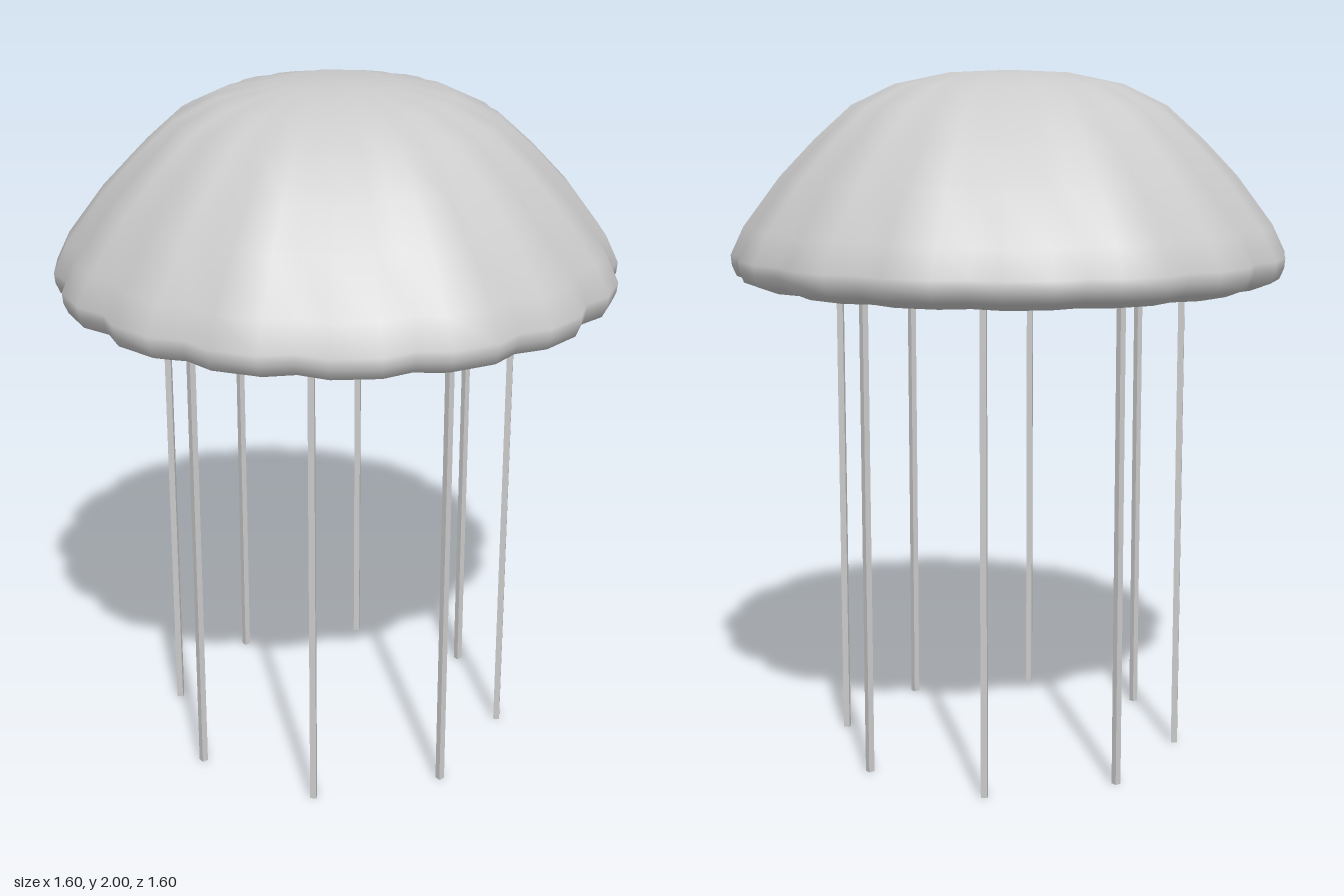
import * as THREE from 'three';
import { mergeVertices } from 'three/addons/utils/BufferGeometryUtils.js';

const LOBES = 16;
const RING = 0.505; // radius of the opening, where the tentacles hang
const LIP_Y = 1.445;

// Thin scalloped dome whose rim curls inward to an open lip
function bellGeometry() {
  const profile = [
    [RING + 0.005, LIP_Y], [0.56, 1.41], [0.65, 1.39], [0.73, 1.398], [0.787, 1.42],
    [0.8, 1.45], [0.803, 1.48], [0.765, 1.56], [0.66, 1.7], [0.56, 1.805],
    [0.455, 1.9], [0.33, 1.96], [0.17, 1.993], [0, 2],
  ].map(([r, y]) => new THREE.Vector2(r, y));
  const segments = LOBES * 3;
  let geo = new THREE.LatheGeometry(profile, segments);
  const pos = geo.attributes.position;

  // Three columns per lobe: one pleat valley and two crests
  for (let i = 0; i < pos.count; i++) {
    const column = Math.floor(i / profile.length) % segments;
    const { x: r, y } = profile[i % profile.length];
    const part = column % 3;
    const shift = [0, -1, 1][part];
    const angle = THREE.MathUtils.degToRad(column * 360 / segments + shift);
    const fade = THREE.MathUtils.clamp((r - 0.15) / 0.45, 0, 1);
    const radius = part === 0 ? r - 0.03 * fade : r;
    pos.setXYZ(i, radius * Math.sin(angle), y, radius * Math.cos(angle));
  }

  // Join the seam and the pole for continuous smooth normals
  geo.deleteAttribute('uv');
  geo.deleteAttribute('normal');
  geo = mergeVertices(geo, 1e-5);
  geo.computeVertexNormals();
  return geo;
}

export function createModel() {
  const model = new THREE.Group();
  model.name = 'jellyfish';

  const bell = new THREE.Mesh(
    bellGeometry(),
    new THREE.MeshStandardMaterial({ color: 0xcccccc, side: THREE.DoubleSide })
  );
  bell.name = 'bell';
  model.add(bell);

  // Eight straight square tentacles hanging from the lip
  const tentacles = new THREE.Group();
  tentacles.name = 'tentacles';
  const tentacleGeo = new THREE.BoxGeometry(0.018, LIP_Y, 0.018);
  const tentacleMat = new THREE.MeshStandardMaterial({ color: 0xcccccc });
  for (let i = 0; i < 8; i++) {
    const angle = i * Math.PI / 4;
    const tentacle = new THREE.Mesh(tentacleGeo, tentacleMat);
    tentacle.name = `tentacle${i + 1}`;
    tentacle.position.set(RING * Math.sin(angle), LIP_Y / 2, RING * Math.cos(angle));
    tentacle.rotation.y = angle;
    tentacles.add(tentacle);
  }
  model.add(tentacles);

  return model;
}
